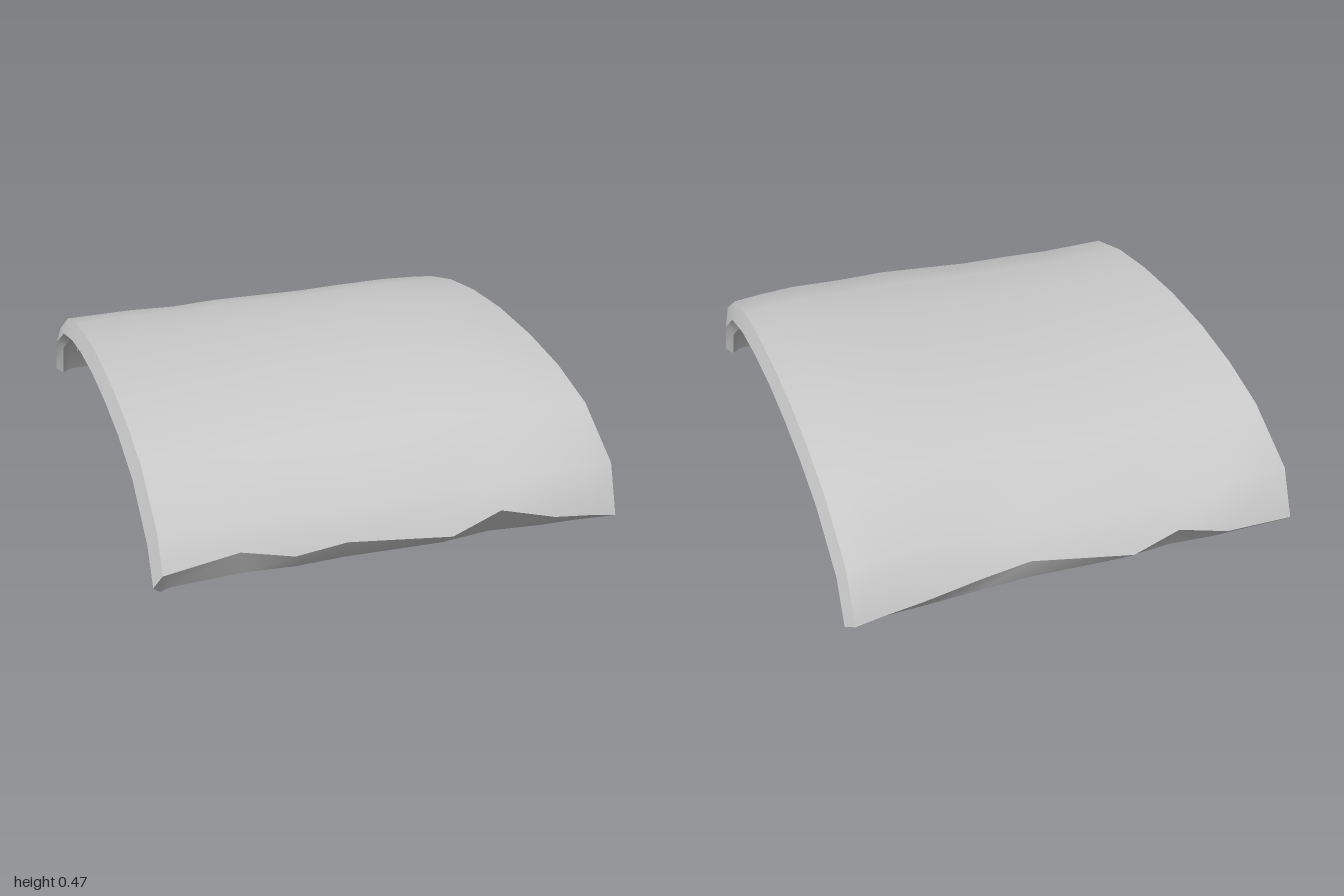
import * as THREE from 'three';
import { toCreasedNormals } from 'three/addons/utils/BufferGeometryUtils.js';

const material = new THREE.MeshStandardMaterial({ color: 0xcccccc, side: THREE.DoubleSide });

// Arch profiles as [z, y], from the front foot to the back foot
const OUTER = [[1, 0.09], [0.94, 0.225], [0.73, 0.37], [0.51, 0.43], [0.27, 0.461], [0, 0.473],
  [-0.25, 0.461], [-0.48, 0.427], [-0.69, 0.37], [-0.925, 0.235], [-1, 0.07]];
const INNER = [[0.91, 0], [0.85, 0.13], [0.66, 0.277], [0.45, 0.342], [0.23, 0.372], [0, 0.382],
  [-0.22, 0.372], [-0.43, 0.342], [-0.64, 0.287], [-0.86, 0.16], [-0.925, 0.01]];

// Stations across the canopy: x, front z, back z, ridge drop, front edge y, back edge y
const STATIONS = [
  [-0.8, 0.965, 0.978, 0.018, 0.09, 0.06], [-0.54, 0.95, 0.995, 0.018, 0.12, 0.08],
  [-0.36, 0.965, 0.975, 0.018, 0.08, 0.12], [-0.18, 0.965, 1, 0.016, 0.1, 0.08],
  [0.18, 1, 0.955, 0.005, 0.075, 0.12], [0.36, 0.985, 0.962, 0.001, 0.135, 0.1],
  [0.56, 0.995, 0.97, 0, 0.08, 0.07], [0.7, 0.99, 0.98, 0.008, 0.06, 0.06],
  [0.8, 0.985, 0.988, 0.018, 0.04, 0.05]];

// Point on a section at a station; depth 0 is the outer skin, 1 the lip bottom
function sectionPoint(st, x, depth, k) {
  const [, front, back, drop, frontY, backY] = st;
  const last = OUTER.length - 1;
  const [oz, oy0] = OUTER[k], [iz, iy] = INNER[k];
  const oy = k === 0 ? frontY : k === last ? backY : oy0;
  const z = THREE.MathUtils.lerp(oz * (oz > 0 ? front : back), iz, depth);
  const y = THREE.MathUtils.lerp(oy, iy, depth);
  return [x, y - drop * Math.min(1, y / 0.4) * (k === 0 || k === last ? 0 : 1), z];
}

function canopyGeometry() {
  const n = STATIONS.length, first = STATIONS[0], end = STATIONS[n - 1];
  // Closed ring across x: skin, right rim and lip, underside, left lip and rim
  const ring = [
    ...STATIONS.map(s => [s, s[0], 0]),
    [end, 0.825, 0.68], [end, 0.8, 1],
    ...STATIONS.slice().reverse().map(s => [s, s[0] * 0.96, 0.8]),
    [first, -0.8, 1], [first, -0.825, 0.68]];
  const m = ring.length, rows = OUTER.length, position = [], index = [];
  for (let k = 0; k < rows; k++)
    for (const [s, x, d] of ring) position.push(...sectionPoint(s, x, d, k));
  const quad = (a, b, c, d) => index.push(a, b, c, a, c, d);
  for (let k = 0; k < rows - 1; k++)
    for (let j = 0; j < m; j++) {
      const j2 = (j + 1) % m;
      quad(k * m + j, k * m + j2, (k + 1) * m + j2, (k + 1) * m + j);
    }
  // Sloping ragged faces at the two feet
  const across = i => [(i + m) % m, 2 * n + 1 - i], base = (rows - 1) * m;
  for (let i = -1; i < n; i++) {
    const [o1, i1] = across(i), [o2, i2] = across(i + 1);
    quad(i1, i2, o2, o1);
    quad(base + o1, base + o2, base + i2, base + i1);
  }
  const g = new THREE.BufferGeometry();
  g.setAttribute('position', new THREE.Float32BufferAttribute(position, 3));
  g.setIndex(index);
  return toCreasedNormals(g, 0.7);
}

// Mirror a half arch [z, y] about z = 0 into a curve at one x
function archCurve(half, x) {
  const pts = [...half, ...half.slice(0, -1).reverse().map(([z, y]) => [-z, y])];
  return new THREE.CatmullRomCurve3(pts.map(([z, y]) => new THREE.Vector3(x, y, z)));
}

function strut(a, b, radius, name) {
  const mesh = new THREE.Mesh(new THREE.CylinderGeometry(radius, radius, a.distanceTo(b), 6), material);
  mesh.position.copy(a).lerp(b, 0.5);
  mesh.quaternion.setFromUnitVectors(new THREE.Vector3(0, 1, 0), b.clone().sub(a).normalize());
  mesh.name = name;
  return mesh;
}

// Triangular arched truss: two upper chords, one lower chord, zigzag webs
function createTruss(x) {
  const truss = new THREE.Group();
  const upperHalf = [[0.84, 0.14], [0.66, 0.262], [0.45, 0.328], [0.22, 0.357], [0, 0.368]];
  const lowerHalf = [[0.825, 0.11], [0.7, 0.195], [0.5, 0.262], [0.28, 0.297], [0, 0.307]];
  const uppers = [-0.06, 0.06].map(dx => archCurve(upperHalf, x + dx));
  const lower = archCurve(lowerHalf, x);
  for (const [curve, name] of [[uppers[0], 'upperChord'], [uppers[1], 'upperChord'], [lower, 'lowerChord']]) {
    const chord = new THREE.Mesh(new THREE.TubeGeometry(curve, 40, 0.009, 6), material);
    chord.name = name;
    truss.add(chord);
  }
  const bays = 16;
  for (let i = 0; i <= bays; i++) {
    const tops = uppers.map(c => c.getPointAt(i / bays));
    truss.add(strut(tops[0], tops[1], 0.006, 'crossBar'));
    for (const top of tops)
      for (const j of [i - 0.5, i + 0.5]) {
        const t = THREE.MathUtils.clamp(j / bays, 0, 1);
        truss.add(strut(top, lower.getPointAt(t), 0.006, 'webStrut'));
      }
    if (i < bays)
      truss.add(strut(tops[i % 2], uppers[(i + 1) % 2].getPointAt((i + 1) / bays), 0.005, 'topBrace'));
  }
  return truss;
}

export function createModel() {
  const model = new THREE.Group();
  model.name = 'archedCanopy';
  const canopy = new THREE.Mesh(canopyGeometry(), material);
  canopy.name = 'canopyShell';
  model.add(canopy);
  for (const [x, name] of [[0.68, 'leftTruss'], [-0.68, 'rightTruss']]) {
    const truss = createTruss(x);
    truss.name = name;
    model.add(truss);
  }
  return model;
}
